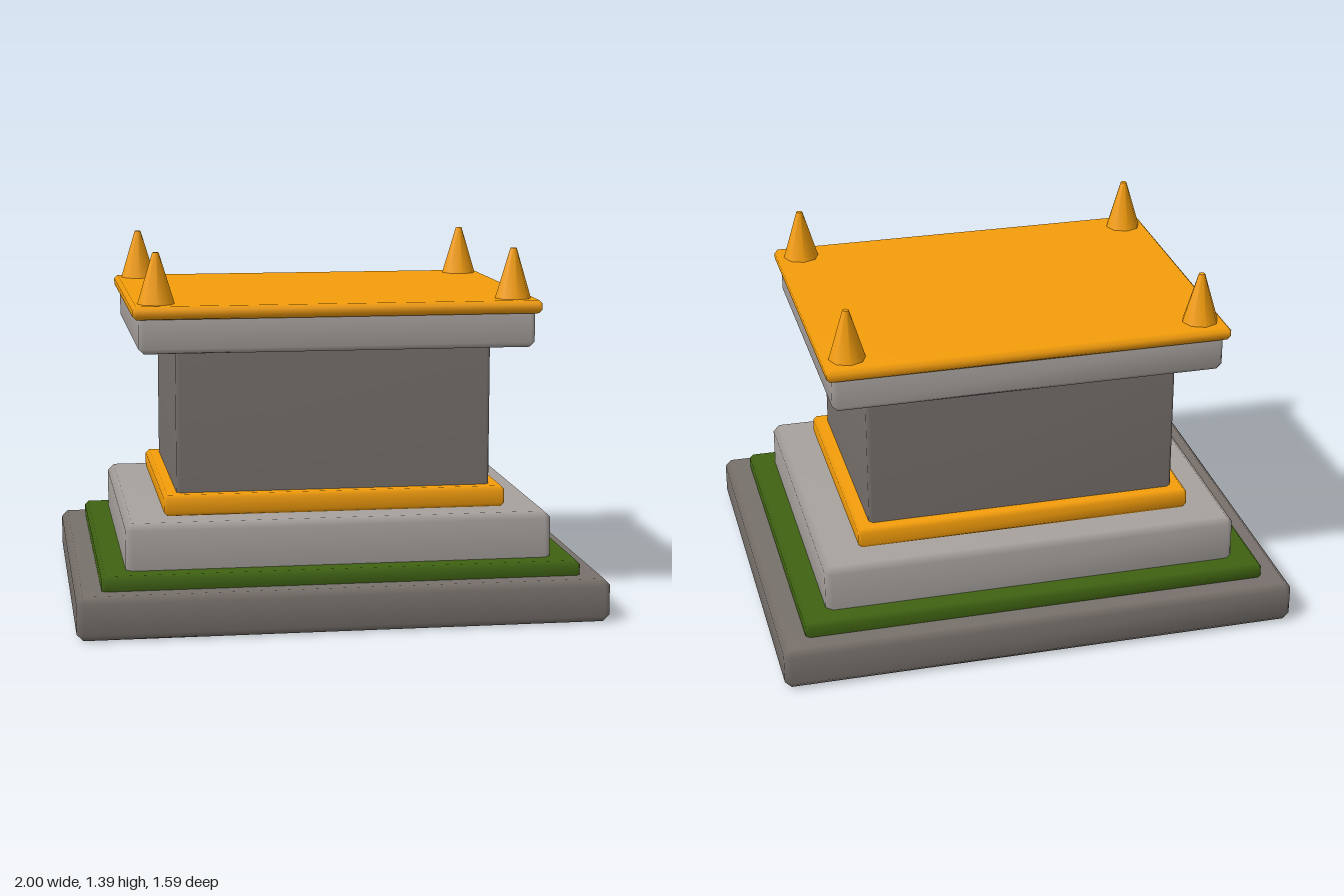
import * as THREE from 'three';
import { ConvexGeometry } from 'three/addons/geometries/ConvexGeometry.js';
import { mergeVertices } from 'three/addons/utils/BufferGeometryUtils.js';

const material = (color) => new THREE.MeshStandardMaterial({ color });

// Box with chamfered edges and soft normals: three corner points per corner
function chamferedBox(hx, hy, hz, b) {
  const points = [];
  for (const sx of [-1, 1]) for (const sy of [-1, 1]) for (const sz of [-1, 1]) {
    points.push(
      new THREE.Vector3(sx * hx, sy * (hy - b), sz * (hz - b)),
      new THREE.Vector3(sx * (hx - b), sy * hy, sz * (hz - b)),
      new THREE.Vector3(sx * (hx - b), sy * (hy - b), sz * hz)
    );
  }
  let geometry = new ConvexGeometry(points);
  geometry.deleteAttribute('normal');
  geometry = mergeVertices(geometry, 1e-5);
  geometry.computeVertexNormals();
  return geometry;
}

export function createModel() {
  const model = new THREE.Group();
  model.name = 'pedestal';

  const darkStone = material(0x78716c);
  const paleStone = material(0xa8a29e);
  const gold = material(0xf59e0b);
  const moss = material(0x3f6212);

  // Stacked slabs: name, half width, half depth, bottom, top, chamfer, material
  const slabs = [
    ['basePlinth', 1.0, 0.795, 0, 0.165, 0.025, darkStone],
    ['mossLayer', 0.903, 0.708, 0.145, 0.22, 0.015, moss],
    ['lowerStep', 0.808, 0.625, 0.18, 0.395, 0.025, paleStone],
    ['lowerGoldBand', 0.655, 0.5, 0.395, 0.475, 0.014, gold],
    ['body', 0.603, 0.45, 0.45, 1.02, 0.015, darkStone],
    ['upperCornice', 0.748, 0.575, 1.02, 1.175, 0.02, paleStone],
    ['topPlate', 0.77, 0.596, 1.15, 1.2, 0.014, gold],
  ];
  for (const [name, hx, hz, y0, y1, chamfer, mat] of slabs) {
    const mesh = new THREE.Mesh(chamferedBox(hx, (y1 - y0) / 2, hz, chamfer), mat);
    mesh.name = name;
    mesh.position.y = (y0 + y1) / 2;
    model.add(mesh);
  }

  // Eight-sided spikes on the four corners of the top plate
  const spikeGeometry = new THREE.CylinderGeometry(0.012, 0.071, 0.195, 8);
  for (const sx of [-1, 1]) for (const sz of [-1, 1]) {
    const spike = new THREE.Mesh(spikeGeometry, gold);
    spike.name = (sz > 0 ? 'front' : 'back') + (sx > 0 ? 'Left' : 'Right') + 'Spike';
    spike.position.set(sx * 0.676, 1.2925, sz * 0.493);
    model.add(spike);
  }

  return model;
}
